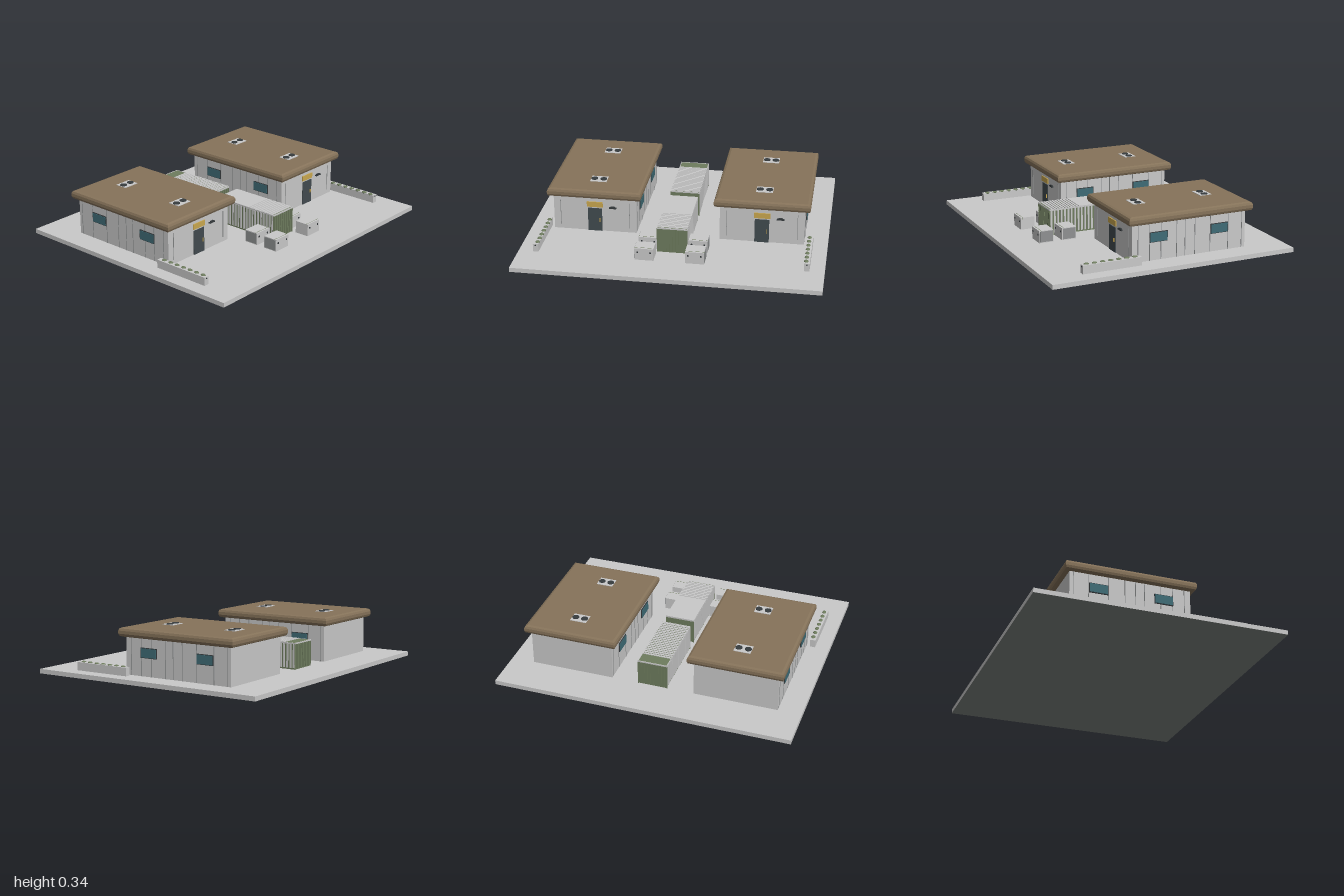
import * as THREE from 'three';

const mat = (name, color) => new THREE.MeshStandardMaterial({ name, color });

export function createModel() {
  const M = {
    light: mat('light grey', 0xc9c9c9),
    asphalt: mat('asphalt grey', 0x7c817d),
    seam: mat('seam grey', 0x8f9192),
    roof: mat('roof brown', 0x86735a),
    green: mat('olive green', 0x6e7c5e),
    door: mat('door slate', 0x424b4f),
    teal: mat('window teal', 0x3f6c76),
    yellow: mat('sign yellow', 0xcaa850),
    dark: mat('dark grey', 0x363b3e),
  };
  const model = new THREE.Group();
  model.name = 'compound';

  // Box given by its extents on each axis
  const box = (parent, name, m, x0, x1, y0, y1, z0, z1) => {
    const mesh = new THREE.Mesh(new THREE.BoxGeometry(x1 - x0, y1 - y0, z1 - z0), m);
    mesh.position.set((x0 + x1) / 2, (y0 + y1) / 2, (z0 + z1) / 2);
    mesh.name = name;
    parent.add(mesh);
    return mesh;
  };
  const disc = (parent, name, m, r, h, x, y, z, axis = 'y') => {
    const mesh = new THREE.Mesh(new THREE.CylinderGeometry(r, r, h, 12), m);
    mesh.position.set(x, y, z);
    if (axis === 'z') mesh.rotation.x = Math.PI / 2;
    mesh.name = name;
    parent.add(mesh);
  };
  const group = (name, x = 0, z = 0) => {
    const g = new THREE.Group();
    g.name = name;
    g.position.set(x, 0, z);
    model.add(g);
    return g;
  };

  // Ground slab, with a darker underside
  const L = M.light;
  box(model, 'groundSlab', [L, L, L, M.asphalt, L, L], -1, 1, 0, 0.03, -0.84, 0.84);

  // Bevelled flat roof
  const roofGeometry = () => {
    const w = 0.298, d = 0.418;
    const s = new THREE.Shape([
      new THREE.Vector2(-w, -d), new THREE.Vector2(w, -d),
      new THREE.Vector2(w, d), new THREE.Vector2(-w, d),
    ]);
    return new THREE.ExtrudeGeometry(s, {
      depth: 0.02, bevelEnabled: true, bevelSize: 0.02, bevelThickness: 0.02, bevelSegments: 2,
    }).rotateX(-Math.PI / 2).translate(0, 0.295, 0);
  };

  const building = (name, x) => {
    const g = group(name, x, -0.162);
    const hx = 0.281, hz = 0.403;
    box(g, 'walls', M.light, -hx, hx, 0.03, 0.285, -hz, hz);
    const roof = new THREE.Mesh(roofGeometry(), M.roof);
    roof.name = 'roof';
    g.add(roof);

    // Entrance, sign, lamp and front seams
    box(g, 'door', M.door, -0.048, 0.048, 0.03, 0.196, hz, hz + 0.005);
    box(g, 'doorHandle', M.yellow, 0.031, 0.036, 0.1, 0.125, hz + 0.005, hz + 0.011);
    box(g, 'sign', M.yellow, -0.054, 0.054, 0.206, 0.243, hz, hz + 0.007);
    box(g, 'lampBar', M.dark, 0.097, 0.147, 0.202, 0.21, hz, hz + 0.012);
    box(g, 'lampHead', M.dark, 0.108, 0.136, 0.21, 0.215, hz, hz + 0.01);
    for (const s of [-1, 1])
      box(g, 'frontSeam', M.seam, s * 0.235 - 0.0015, s * 0.235 + 0.0015, 0.06, 0.245, hz, hz + 0.003);

    // Windows and panel seams on both long sides
    for (const s of [-1, 1]) {
      const side = (n, m, t, y0, y1, z0, z1) =>
        box(g, n, m, s > 0 ? hx : -hx - t, s > 0 ? hx + t : -hx, y0, y1, z0 + 0.162, z1 + 0.162);
      for (const z of [0.059, -0.374]) {
        side('windowFrame', M.dark, 0.006, 0.149, 0.215, z - 0.063, z + 0.063);
        side('windowPane', M.teal, 0.009, 0.153, 0.211, z - 0.059, z + 0.059);
      }
      for (const z of [0.2, 0.12, 0.04, -0.07, -0.13, -0.2, -0.31, -0.44, -0.54])
        side('wallSeam', M.seam, 0.002, 0.03, 0.275, z - 0.002, z + 0.002);
    }

    // Twin-fan roof units
    for (const z of [0.242, -0.24]) {
      box(g, 'roofUnit', M.light, -0.056, 0.056, 0.333, 0.338, z - 0.042, z + 0.042);
      for (const s of [-1, 1]) disc(g, 'roofFan', M.dark, 0.023, 0.004, s * 0.031, 0.34, z);
    }
  };
  building('rightBuilding', -0.562);
  building('leftBuilding', 0.562);

  // Ribbed shipping containers with striped tops
  const container = (name, z0, z1, plainTop, stripe) => {
    const g = group(name);
    box(g, 'containerBody', M.green, -0.096, 0.096, 0.03, 0.205, z0 + 0.004, z1 - 0.004);
    const n = 20, step = (z1 - z0) / n;
    for (let i = 0; i < n; i++) {
      const z = z0 + (i + 0.5) * step;
      for (const s of [-1, 1])
        box(g, 'sideRib', M.light, s * 0.098 - 0.003, s * 0.098 + 0.003, 0.04, 0.198, z - step * 0.25, z + step * 0.25);
    }
    for (const [a, b] of [[z0, z0 + 0.005], [z1 - 0.005, z1]]) {
      box(g, 'endTopRail', M.light, -0.1, 0.1, 0.198, 0.207, a, b);
      for (const s of [-1, 1]) box(g, 'cornerPost', M.green, s * 0.098 - 0.003, s * 0.098 + 0.003, 0.03, 0.2, a, b);
      for (let i = -4; i <= 4; i++)
        box(g, 'endRib', M.green, i * 0.02 - 0.004, i * 0.02 + 0.004, 0.035, 0.198, a, b);
    }
    for (const s of [-1, 1])
      box(g, 'sideTopRail', M.light, s * 0.098 - 0.002, s * 0.098 + 0.002, 0.198, 0.207, z0, z1);
    if (plainTop > z0) box(g, 'topPanel', M.light, -0.1, 0.1, 0.203, 0.209, z0, plainTop);
    for (let z = Math.max(plainTop, z0 + 0.08); z + stripe < z1; z += 0.02)
      box(g, 'topStripe', M.light, -0.1, 0.1, 0.203, 0.209, z + 0.02 - stripe, z + 0.02);
  };
  container('rearContainer', -0.568, -0.077, -0.568, 0.012);
  container('frontContainer', -0.005, 0.483, 0.27, 0.014);

  // Four equipment cabinets around the front container
  for (const s of [-1, 1]) {
    for (const z of [0.4, 0.56]) {
      const g = group('cabinet', s * 0.165, z);
      box(g, 'cabinetBody', M.light, -0.062, 0.062, 0.03, 0.112, -0.05, 0.05);
      box(g, 'cabinetEndPanel', M.seam, s * 0.062 - 0.003, s * 0.062 + 0.003, 0.036, 0.108, -0.044, 0.044);
      box(g, 'cabinetTrim', M.green, -0.0625, 0.0625, 0.1, 0.1125, 0.034, 0.037);
      for (const x of [-0.042, 0.042]) disc(g, 'cabinetKnob', M.dark, 0.006, 0.004, x, 0.085, 0.051, 'z');
    }
  }

  // Long planters with rows of small shrubs
  for (const s of [-1, 1]) {
    const g = group('planter', s * 0.885);
    box(g, 'planterBox', M.light, -0.018, 0.018, 0.03, 0.085, 0.2, 0.6);
    disc(g, 'planterStud', M.dark, 0.005, 0.004, 0, 0.075, 0.6, 'z');
    for (let i = 0; i < 7; i++) {
      const shrub = new THREE.Mesh(new THREE.SphereGeometry(0.019, 8, 6), M.green);
      shrub.scale.set(0.8, 0.45, 1);
      shrub.position.set(-s * 0.006, 0.084, 0.24 + i * 0.0545);
      shrub.name = 'shrub';
      g.add(shrub);
    }
  }
  return model;
}
